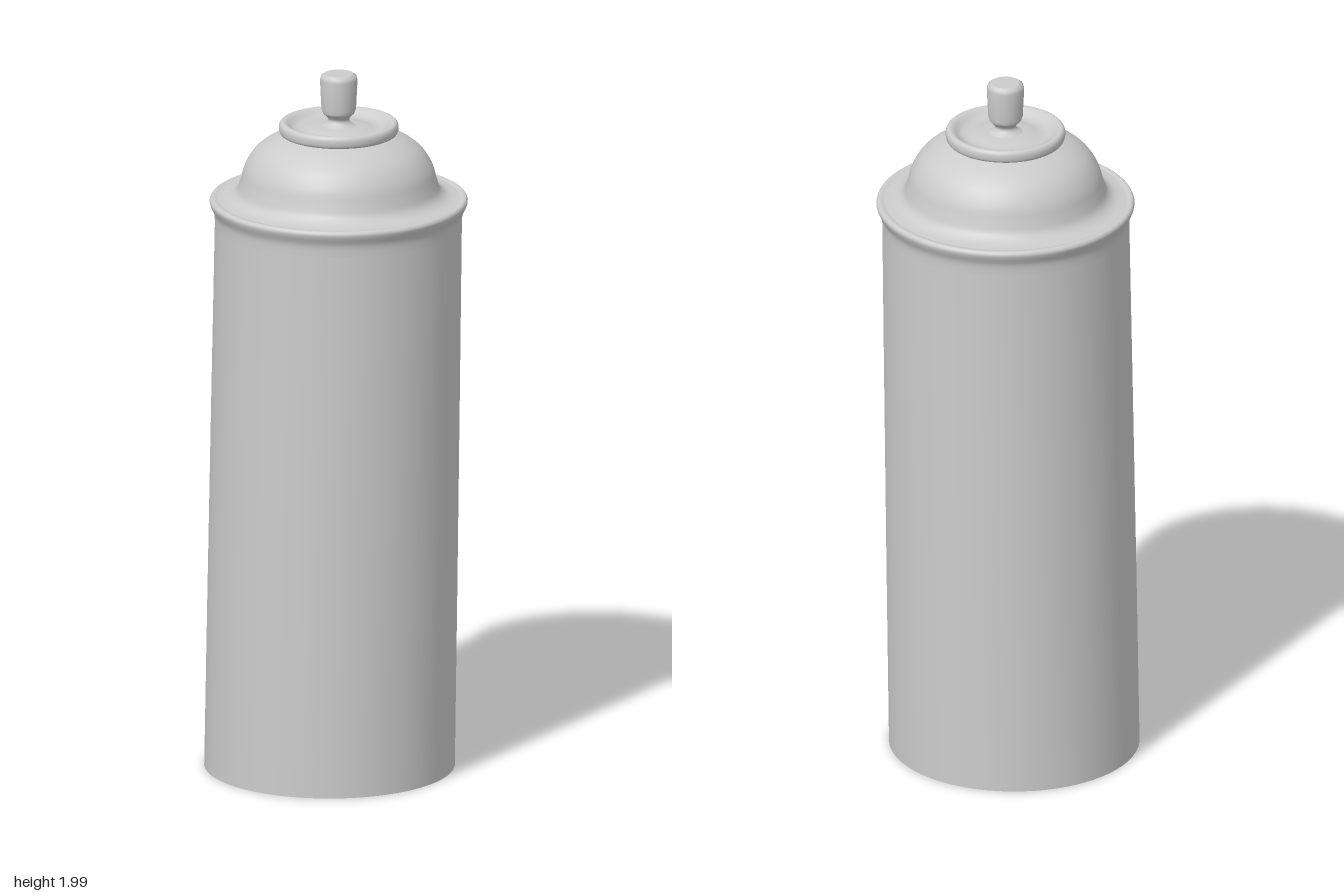
import * as THREE from 'three';

const material = new THREE.MeshStandardMaterial({ color: 0xcccccc });
const RIM_Y = 1.64;

// The can leans very slightly; everything above the rim keeps the rim's offset.
function lean(geometry) {
  const p = geometry.attributes.position;
  for (let i = 0; i < p.count; i++) {
    const t = Math.min(p.getY(i) / RIM_Y, 1);
    p.setX(i, p.getX(i) - 0.012 + 0.015 * t);
    p.setZ(i, p.getZ(i) - 0.012 + 0.025 * t);
  }
  return geometry;
}

// Revolved part; the profile runs [radius, height] so that its outside faces out.
function turned(name, profile, segments = 64) {
  const points = profile.map(([r, y]) => new THREE.Vector2(r, y));
  const mesh = new THREE.Mesh(lean(new THREE.LatheGeometry(points, segments)), material);
  mesh.name = name;
  return mesh;
}

// Rounds a few profile points into a smooth curve.
function smooth(profile, divisions) {
  const curve = new THREE.SplineCurve(profile.map(([r, y]) => new THREE.Vector2(r, y)));
  return curve.getPoints(divisions).map((p) => [p.x, p.y]);
}

export function createModel() {
  const can = new THREE.Group();
  can.name = 'sprayCan';

  // Flat base and straight wall
  can.add(turned('base', [[0, 0.008], [0.347, 0.008]]));
  can.add(turned('bodyWall', [[0.347, 0.008], [0.346, 0.5], [0.344, 1.1], [0.342, 1.57]]));

  // Flared seam where the wall meets the shoulder
  can.add(turned('rim', smooth([
    [0.342, 1.57], [0.344, 1.6], [0.355, 1.625], [0.357, 1.637], [0.35, 1.645], [0.335, 1.643],
  ], 20)));

  // Domed shoulder
  can.add(turned('shoulder', smooth([
    [0.335, 1.643], [0.305, 1.648], [0.283, 1.665], [0.272, 1.695], [0.26, 1.735],
    [0.235, 1.775], [0.2, 1.803], [0.165, 1.82], [0.147, 1.826],
  ], 32)));

  // Rolled valve cup with a shallow recessed floor
  can.add(turned('valveCup', smooth([
    [0.147, 1.826], [0.16, 1.829], [0.165, 1.838], [0.165, 1.853], [0.158, 1.862],
    [0.145, 1.86], [0.125, 1.846], [0.1, 1.843], [0.065, 1.85], [0, 1.855],
  ], 36)));

  // Valve stem and push button
  can.add(turned('valveStem', smooth([
    [0.05, 1.85], [0.034, 1.86], [0.03, 1.872], [0.044, 1.888],
  ], 12), 24));
  can.add(turned('sprayButton', [
    [0.044, 1.888], [0.048, 1.9], [0.05, 1.94], [0.052, 1.983], [0.049, 1.994], [0.04, 2],
  ], 24));
  can.add(turned('buttonTop', [[0.04, 2], [0, 2]], 24));

  return can;
}
